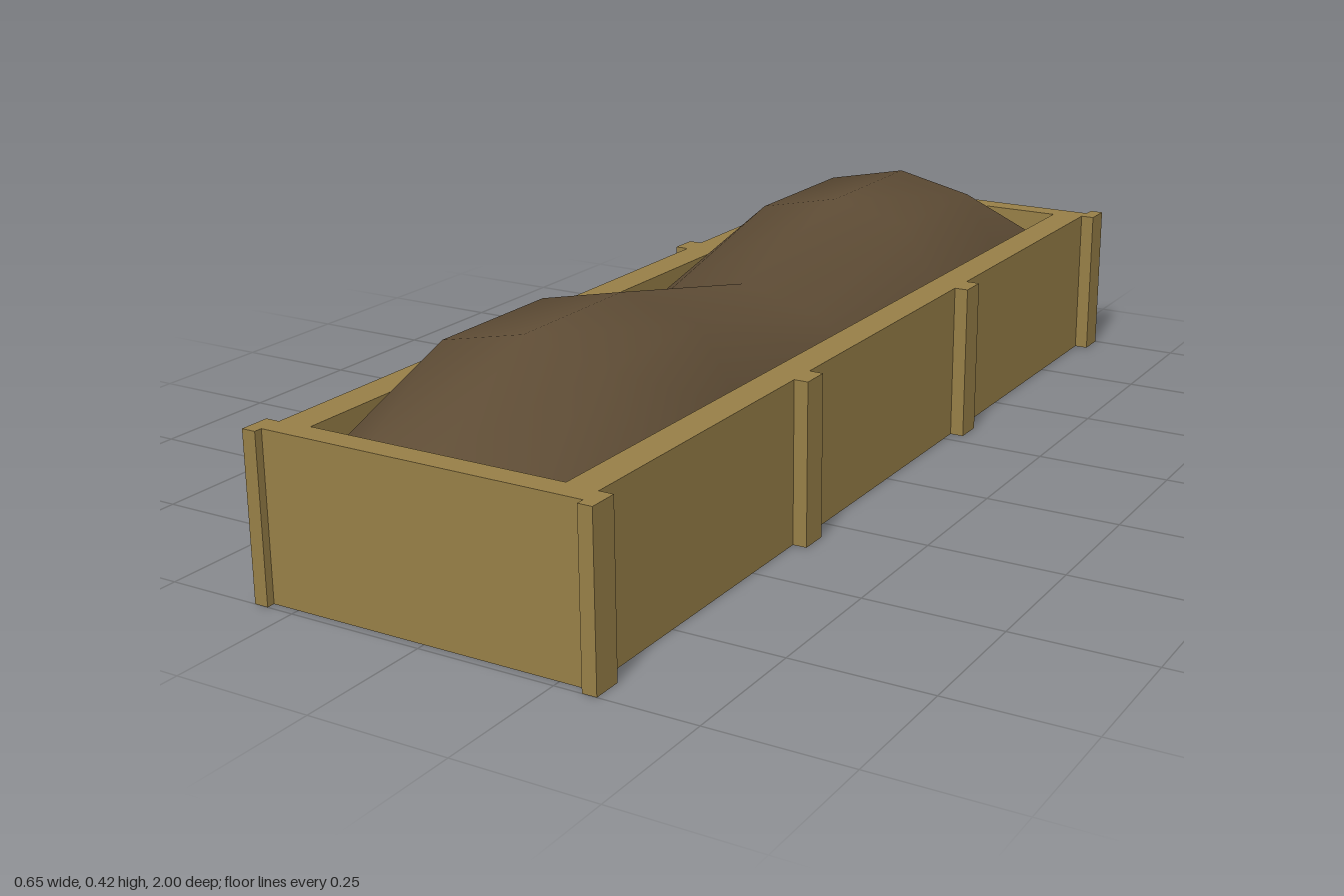
import * as THREE from 'three';

export function createModel() {
  const model = new THREE.Group();
  model.name = 'planterBox';
  const wood = new THREE.MeshStandardMaterial({ color: 0x977f47 });
  wood.name = 'wood';
  const soil = new THREE.MeshStandardMaterial({ color: 0x5e4c35 });
  soil.name = 'soil';

  // Axis-aligned board between two corners
  function board(name, x0, x1, y0, y1, z0, z1) {
    const mesh = new THREE.Mesh(new THREE.BoxGeometry(x1 - x0, y1 - y0, z1 - z0), wood);
    mesh.position.set((x0 + x1) / 2, (y0 + y1) / 2, (z0 + z1) / 2);
    mesh.name = name;
    model.add(mesh);
  }

  const H = 0.296, W = 0.3, T = 0.24;
  const back = -0.975, front = 0.985, innerBack = -0.93, innerFront = 0.94;

  // Open box
  board('floor', -T, T, 0, 0.04, innerBack, innerFront);
  board('frontWall', -W, W, 0, H, innerFront, front);
  board('backWall', -W, W, 0, H, back, innerBack);
  board('leftWall', T, W, 0, H, innerBack, innerFront);
  board('rightWall', -W, -T, 0, H, innerBack, innerFront);

  // Upright battens on both long sides
  for (const [z0, z1] of [[-1, -0.945], [-0.335, -0.281], [0.308, 0.362], [0.945, 1]]) {
    board('leftBatten', W, 0.326, 0, H, z0, z1);
    board('rightBatten', -0.326, -W, 0, H, z0, z1);
  }

  // Two-humped soil mound: z, ridge height, shoulder height, edge height
  const rows = [
    [innerBack, 0.285, 0.245, 0.225],
    [-0.65, 0.422, 0.388, 0.255],
    [-0.35, 0.422, 0.388, 0.255],
    [0.02, 0.337, 0.3, 0.235],
    [0.43, 0.422, 0.388, 0.255],
    [0.71, 0.422, 0.388, 0.255],
    [innerFront, 0.29, 0.248, 0.225],
  ];
  const columns = [-T, -0.157, 0.005, 0.157, T];
  const mound = new THREE.PlaneGeometry(1, 1, columns.length - 1, rows.length - 1);
  mound.rotateX(-Math.PI / 2);
  rows.forEach(([z, ridge, shoulder, edge], r) => {
    const heights = [edge, shoulder, ridge, shoulder, edge];
    columns.forEach((x, c) => {
      mound.attributes.position.setXYZ(r * columns.length + c, x, heights[c], z);
    });
  });
  mound.computeVertexNormals();
  const mesh = new THREE.Mesh(mound, soil);
  mesh.name = 'soilMound';
  model.add(mesh);

  return model;
}
